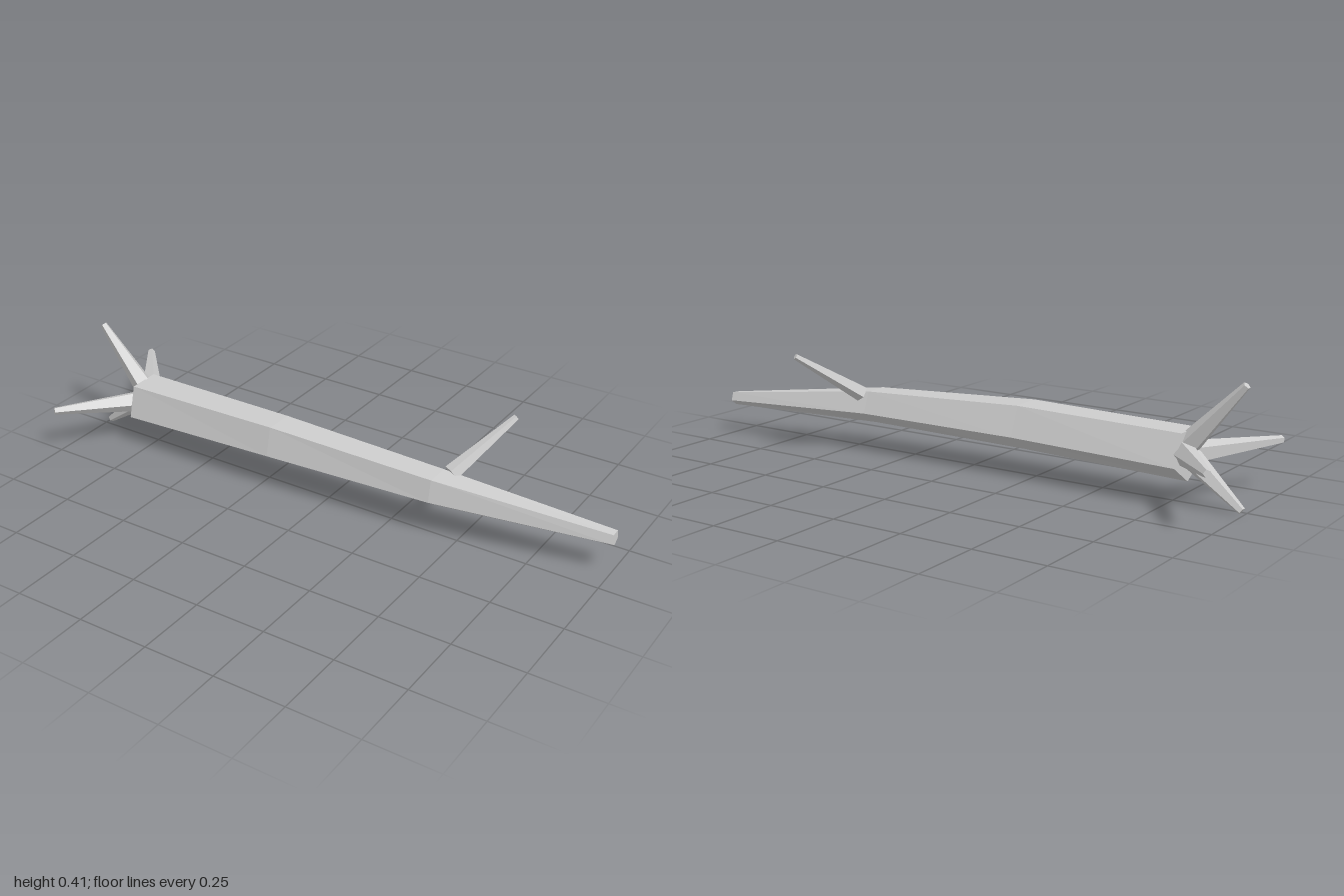
import * as THREE from 'three';

const bark = new THREE.MeshStandardMaterial({ color: 0xcccccc, flatShading: true });
bark.name = 'pale bark';

// Closed loft through five-sided sections placed along x; each point is [y, z]
function loft(sections) {
  const n = sections[0].ring.length;
  const pos = [];
  const index = [];
  sections.forEach(({ x, ring }) => ring.forEach(([y, z]) => pos.push(x, y, z)));
  for (let s = 0; s < sections.length - 1; s++) {
    for (let j = 0; j < n; j++) {
      const a = s * n + j, b = s * n + (j + 1) % n;
      index.push(a, b, b + n, a, b + n, a + n);
    }
  }
  const end = (sections.length - 1) * n;
  for (let j = 1; j < n - 1; j++) {
    index.push(0, j + 1, j);
    index.push(end, end + j, end + j + 1);
  }
  const geo = new THREE.BufferGeometry();
  geo.setAttribute('position', new THREE.Float32BufferAttribute(pos, 3));
  geo.setIndex(index);
  const flat = geo.toNonIndexed();
  flat.computeVertexNormals();
  return flat;
}

// Tapered five-sided limb from one point to another, with one ridge turned toward +x
function limb(name, from, to, r0, r1) {
  const a = new THREE.Vector3(...from), b = new THREE.Vector3(...to);
  const dir = b.clone().sub(a);
  const length = dir.length();
  dir.normalize();
  const ridge = new THREE.Vector3(1, 0, 0).addScaledVector(dir, -dir.x).normalize();
  const side = dir.clone().cross(ridge);
  const mesh = new THREE.Mesh(new THREE.CylinderGeometry(r1, r0, length, 5), bark);
  mesh.quaternion.setFromRotationMatrix(new THREE.Matrix4().makeBasis(side, dir, ridge));
  mesh.position.copy(a).add(b).multiplyScalar(0.5);
  mesh.name = name;
  return mesh;
}

export function createModel() {
  const group = new THREE.Group();
  group.name = 'fallenLog';

  // Trunk: bends gently and tapers toward +x
  const trunk = new THREE.Mesh(loft([
    { x: -0.8, ring: [[0.23, 0.058], [0.118, 0.087], [0.068, -0.003], [0.13, -0.1], [0.232, -0.055]] },
    { x: -0.2, ring: [[0.241, 0.06], [0.14, 0.084], [0.085, -0.003], [0.14, -0.085], [0.239, -0.045]] },
    { x: 0.41, ring: [[0.214, 0.029], [0.137, 0.044], [0.096, -0.017], [0.14, -0.086], [0.214, -0.057]] },
    { x: 1.0, ring: [[0.148, -0.087], [0.118, -0.079], [0.102, -0.103], [0.121, -0.128], [0.15, -0.118]] },
  ]), bark);
  trunk.name = 'trunk';
  group.add(trunk);

  // Roots spread from the thick end
  [
    ['upperRoot', [-0.785, 0.168, -0.012], [-0.991, 0.398, -0.02]],
    ['lowerRoot', [-0.785, 0.17, -0.012], [-0.991, 0.009, -0.02]],
    ['frontRoot', [-0.785, 0.155, -0.005], [-0.991, 0.172, 0.275]],
    ['backRoot', [-0.785, 0.165, -0.02], [-0.991, 0.185, -0.275]],
  ].forEach(([name, from, to]) => group.add(limb(name, from, to, 0.042, 0.013)));

  // Single broken branch near the thin end
  group.add(limb('branch', [0.437, 0.205, -0.06], [0.56, 0.356, -0.266], 0.03, 0.011));

  return group;
}
